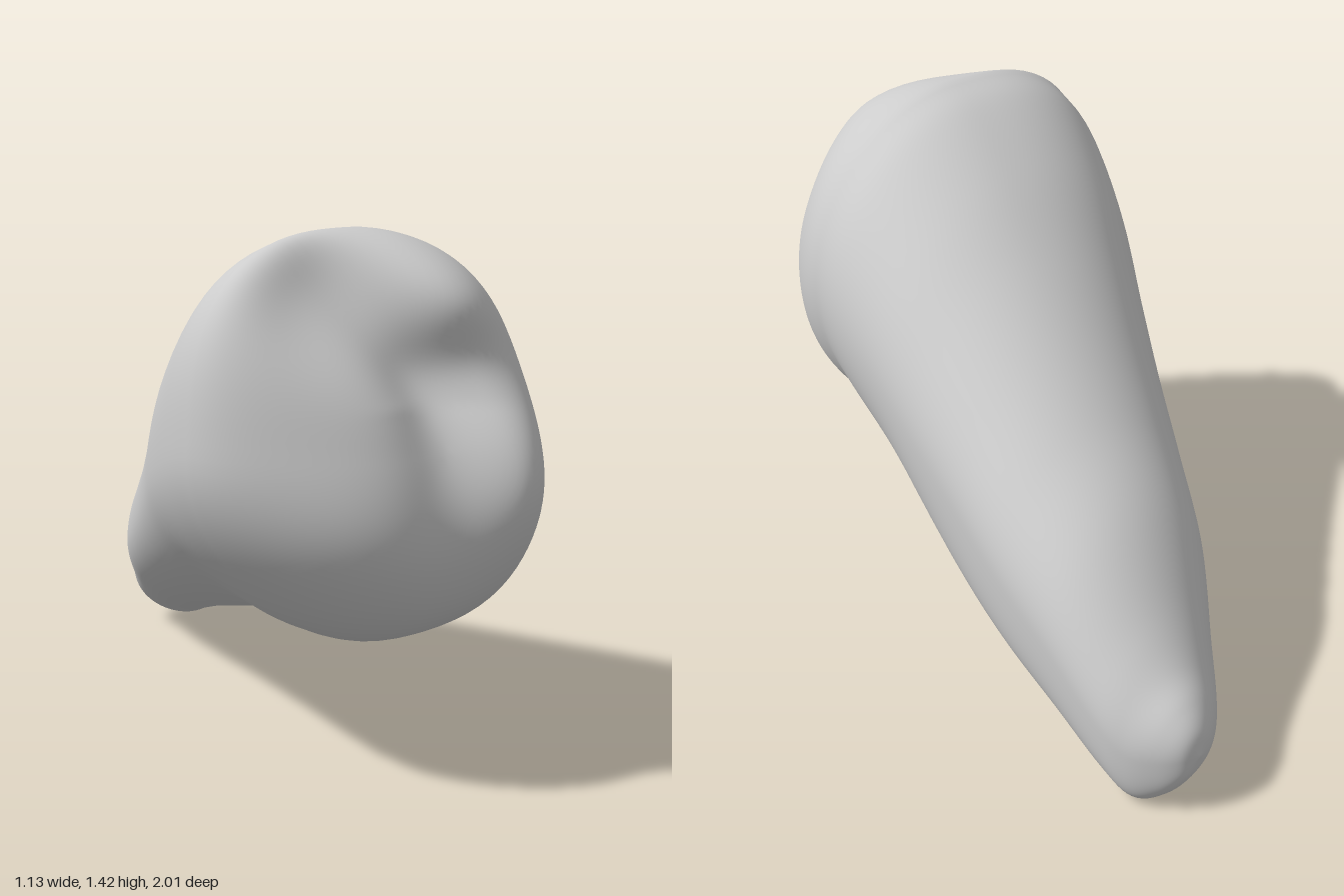
import * as THREE from 'three';
import { mergeVertices } from 'three/addons/utils/BufferGeometryUtils.js';

// Cross-sections from root tip to crown rim: z, xMin, xMax, yMin, yMax
const SECTIONS = [
  [-1.0, 0.395, 0.405, 0.185, 0.195],
  [-0.985, 0.345, 0.455, 0.12, 0.26],
  [-0.94, 0.28, 0.5, 0.05, 0.315],
  [-0.87, 0.21, 0.54, 0.0, 0.37],
  [-0.78, 0.14, 0.56, 0.03, 0.46],
  [-0.6, 0.0, 0.565, 0.09, 0.65],
  [-0.4, -0.115, 0.56, 0.145, 0.8],
  [-0.2, -0.225, 0.54, 0.2, 0.95],
  [0.0, -0.34, 0.52, 0.255, 1.1],
  [0.2, -0.455, 0.5, 0.31, 1.25],
  [0.4, -0.54, 0.48, 0.335, 1.375],
  [0.53, -0.565, 0.455, 0.352, 1.418],
];
const SEGMENTS = 96, BODY_RINGS = 77, CAP_RINGS = 44;
const bell = (d, width) => Math.exp(-((d / width) ** 2));
const bump = (x, y, bx, by, width) => bell(Math.hypot(x - bx, y - by), width);

// Outline point of a section: the root's underside leans to +x, the crown is squarer at its upper -x corner
function outline(z, x0, x1, y0, y1, a) {
  const c = Math.cos(a), s = Math.sin(a);
  const crown = THREE.MathUtils.smoothstep(z, -0.3, 0.6);
  const corner = c < 0 ? (2 * c * s) ** 2 * crown : 0;
  const k = 1 + (s > 0 ? 0.1 : -0.07) * corner;
  const lean = s < 0 ? 0.4 * (1 - crown) * s * s : 0;
  return [(x0 + x1) / 2 + ((x1 - x0) / 2) * (c * k + lean), (y0 + y1) / 2 + ((y1 - y0) / 2) * s * k];
}

// Height of the chewing surface: tilted plane, cusps and a broad groove
function chewingSurface(x, y) {
  let z = 0.94 + 0.26 * (x + 0.1) - 0.2 * (y - 0.85);
  z -= 1.8 * Math.max(0, x - 0.08) ** 2;
  z += 0.04 * bump(x, y, 0.1, 0.8, 0.18);
  z += 0.07 * bump(x, y, 0.02, 1.3, 0.15);
  z += 0.04 * bump(x, y, -0.35, 0.65, 0.2);
  z -= 0.1 * bump(x, y, -0.32, 1.28, 0.17);
  const grooveX = -0.05 - 0.4 * Math.max(0, y - 1);
  const depth = 0.035 + 0.055 * THREE.MathUtils.smoothstep(y, 0.6, 1.1);
  z -= depth * bell(x - grooveX, 0.13);
  z -= 0.06 * bell(y - 1.09, 0.12) * bell(x - 0.06, 0.2);
  return z;
}

function toothGeometry() {
  const widths = new THREE.CatmullRomCurve3(
    SECTIONS.map(([z, a, b]) => new THREE.Vector3(a, b, z)), false, 'catmullrom', 0.5);
  const heights = new THREE.CatmullRomCurve3(
    SECTIONS.map(([z, , , a, b]) => new THREE.Vector3(a, b, z)), false, 'catmullrom', 0.5);
  const positions = [], indices = [];

  // Root and crown walls
  for (let i = 0; i <= BODY_RINGS; i++) {
    const w = widths.getPoint(i / BODY_RINGS), h = heights.getPoint(i / BODY_RINGS);
    for (let j = 0; j < SEGMENTS; j++) {
      const [x, y] = outline(w.z, w.x, w.y, h.x, h.y, (j / SEGMENTS) * Math.PI * 2);
      positions.push(x, y, w.z);
    }
  }

  // Rounded rim and chewing surface
  const [rimZ, x0, x1, y0, y1] = SECTIONS[SECTIONS.length - 1];
  const cx = (x0 + x1) / 2, cy = (y0 + y1) / 2;
  for (let i = 1; i <= CAP_RINGS; i++) {
    const s = Math.cos((i / CAP_RINGS) * Math.PI / 2);
    const rise = (1 - s ** 2.25) ** (1 / 2.25);
    for (let j = 0; j < SEGMENTS; j++) {
      const [ox, oy] = outline(rimZ, x0, x1, y0, y1, (j / SEGMENTS) * Math.PI * 2);
      const x = cx + (ox - cx) * s, y = cy + (oy - cy) * s;
      positions.push(x, y, rimZ + (chewingSurface(x, y) - rimZ) * rise);
    }
  }

  const rings = BODY_RINGS + CAP_RINGS;
  for (let i = 0; i < rings; i++) {
    for (let j = 0; j < SEGMENTS; j++) {
      const n = (j + 1) % SEGMENTS;
      const a = i * SEGMENTS + j, b = i * SEGMENTS + n;
      const c = a + SEGMENTS, d = b + SEGMENTS;
      indices.push(a, b, c, b, d, c);
    }
  }

  // Close the root tip
  const tip = positions.length / 3;
  positions.push(0.4, 0.19, -1);
  for (let j = 0; j < SEGMENTS; j++) indices.push(tip, (j + 1) % SEGMENTS, j);

  const geometry = new THREE.BufferGeometry();
  geometry.setAttribute('position', new THREE.Float32BufferAttribute(positions, 3));
  geometry.setIndex(indices);
  const merged = mergeVertices(geometry, 1e-5);
  merged.computeVertexNormals();
  return merged;
}

export function createModel() {
  const enamel = new THREE.MeshStandardMaterial({ color: 0xcccccc });
  enamel.name = 'enamel grey';
  const tooth = new THREE.Mesh(toothGeometry(), enamel);
  tooth.name = 'tooth';
  const group = new THREE.Group();
  group.name = 'toothModel';
  group.add(tooth);
  return group;
}
